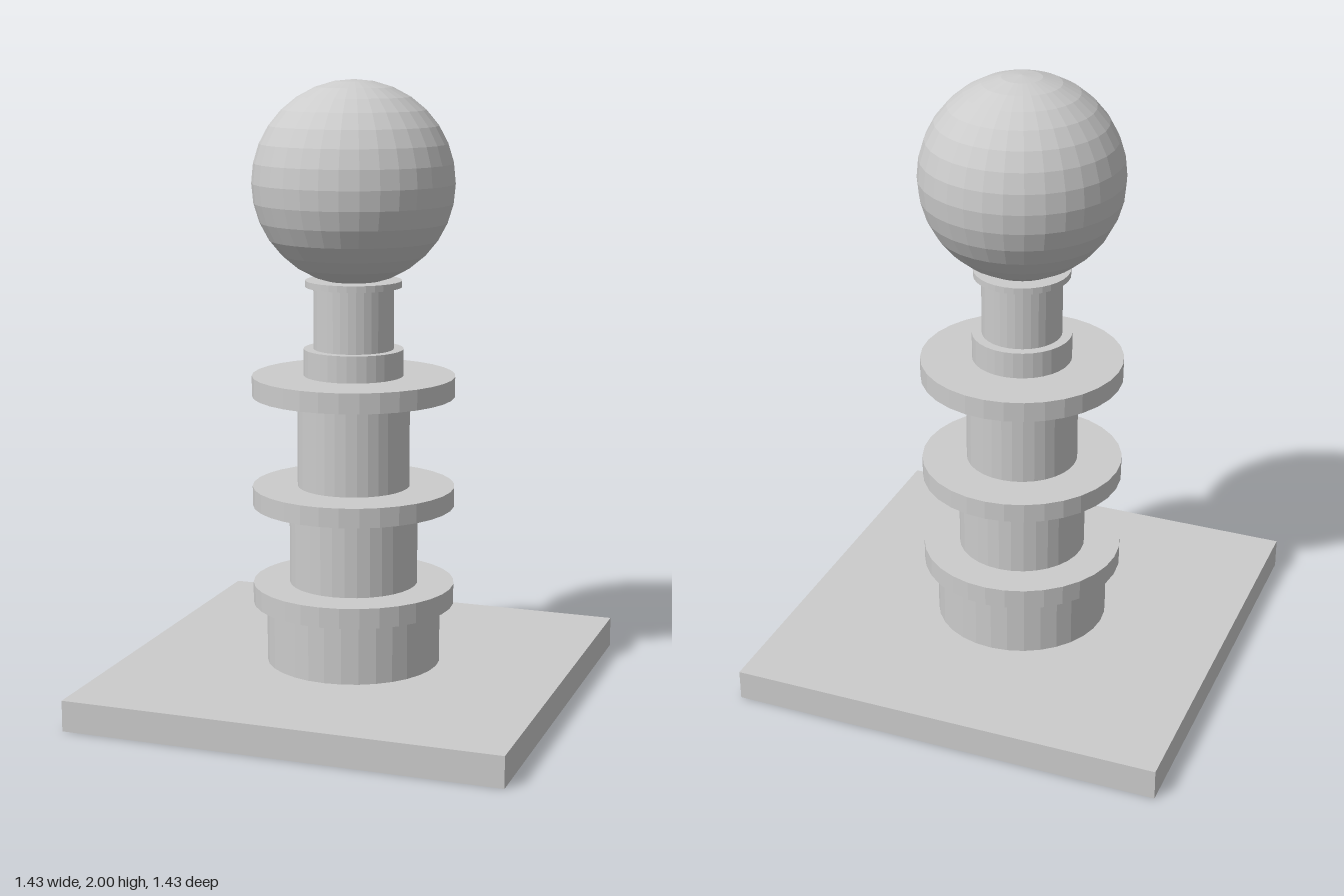
import * as THREE from 'three';

const SIDES = 32;

export function createModel() {
  const model = new THREE.Group();
  model.name = 'ballFinialPost';
  const material = new THREE.MeshStandardMaterial({ color: 0xcccccc, flatShading: true });

  const add = (name, geometry, y) => {
    const mesh = new THREE.Mesh(geometry, material);
    mesh.name = name;
    mesh.position.y = y;
    model.add(mesh);
  };

  // Square plinth
  add('base', new THREE.BoxGeometry(1.426, 0.1, 1.426), 0.05);

  // Stacked drums and flanges: name, radius, bottom, top
  const stack = [
    ['lowerDrum', 0.285, 0.1, 0.298],
    ['lowerFlange', 0.33, 0.298, 0.364],
    ['middleDrum', 0.21, 0.364, 0.625],
    ['middleFlange', 0.33, 0.625, 0.688],
    ['upperDrum', 0.183, 0.688, 0.987],
    ['upperFlange', 0.33, 0.987, 1.053],
    ['collar', 0.162, 1.053, 1.14],
    ['neck', 0.13, 1.14, 1.341],
    ['neckRing', 0.156, 1.341, 1.362],
  ];
  for (const [name, radius, bottom, top] of stack) {
    add(name, new THREE.CylinderGeometry(radius, radius, top - bottom, SIDES), (bottom + top) / 2);
  }

  // Ball on top
  add('ball', new THREE.SphereGeometry(0.326, SIDES, SIDES / 2), 1.674);

  return model;
}
